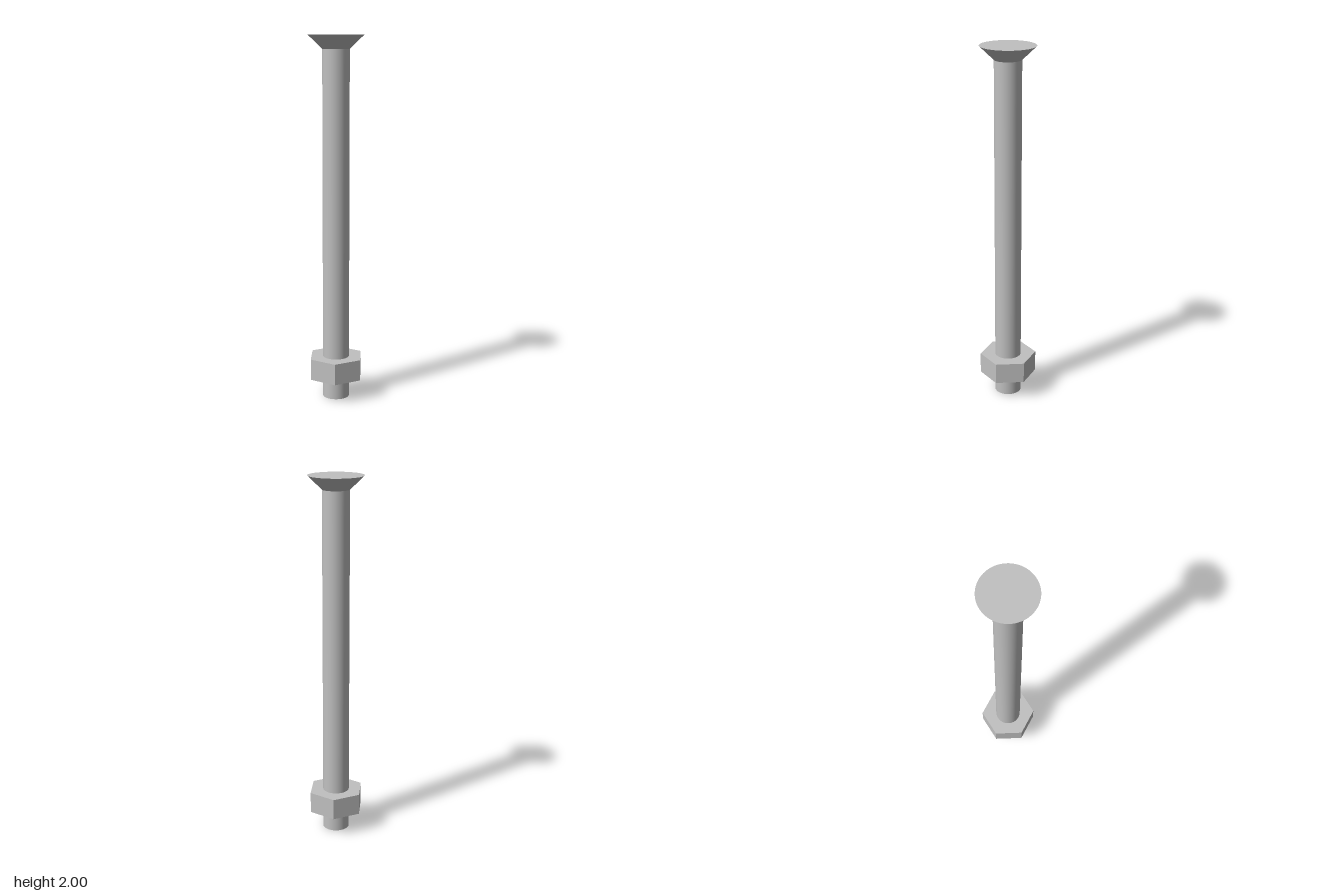
import * as THREE from 'three';

const SHAFT_RADIUS = 0.073;
const HEAD_RADIUS = 0.149;
const HEAD_BASE = 1.927;
const SEGMENTS = 64;

export function createModel() {
  const model = new THREE.Group();
  model.name = 'countersunkBoltWithNut';

  const steel = new THREE.MeshStandardMaterial({ color: 0xc0c0c0 });
  steel.name = 'steel';

  const add = (name, geometry, y) => {
    const mesh = new THREE.Mesh(geometry, steel);
    mesh.name = name;
    mesh.position.y = y;
    model.add(mesh);
  };

  // Long plain shaft
  add('shaft', new THREE.CylinderGeometry(SHAFT_RADIUS, SHAFT_RADIUS, HEAD_BASE, SEGMENTS), HEAD_BASE / 2);

  // Conical countersunk head with a flat top
  const headHeight = 2 - HEAD_BASE;
  add('head', new THREE.CylinderGeometry(HEAD_RADIUS, SHAFT_RADIUS, headHeight, SEGMENTS), HEAD_BASE + headHeight / 2);

  // Hexagonal nut with a round bore, two corners on the x axis
  const hexagon = new THREE.Shape();
  for (let i = 0; i < 6; i++) {
    const a = (i * Math.PI) / 3;
    const x = 0.158 * Math.cos(a), y = 0.158 * Math.sin(a);
    if (i === 0) hexagon.moveTo(x, y);
    else hexagon.lineTo(x, y);
  }
  hexagon.closePath();
  hexagon.holes.push(new THREE.Path().absarc(0, 0, SHAFT_RADIUS, 0, Math.PI * 2, true));
  const nut = new THREE.ExtrudeGeometry(hexagon, { depth: 0.118, bevelEnabled: false, curveSegments: SEGMENTS });
  nut.rotateX(-Math.PI / 2);
  add('nut', nut, 0.115);

  return model;
}
